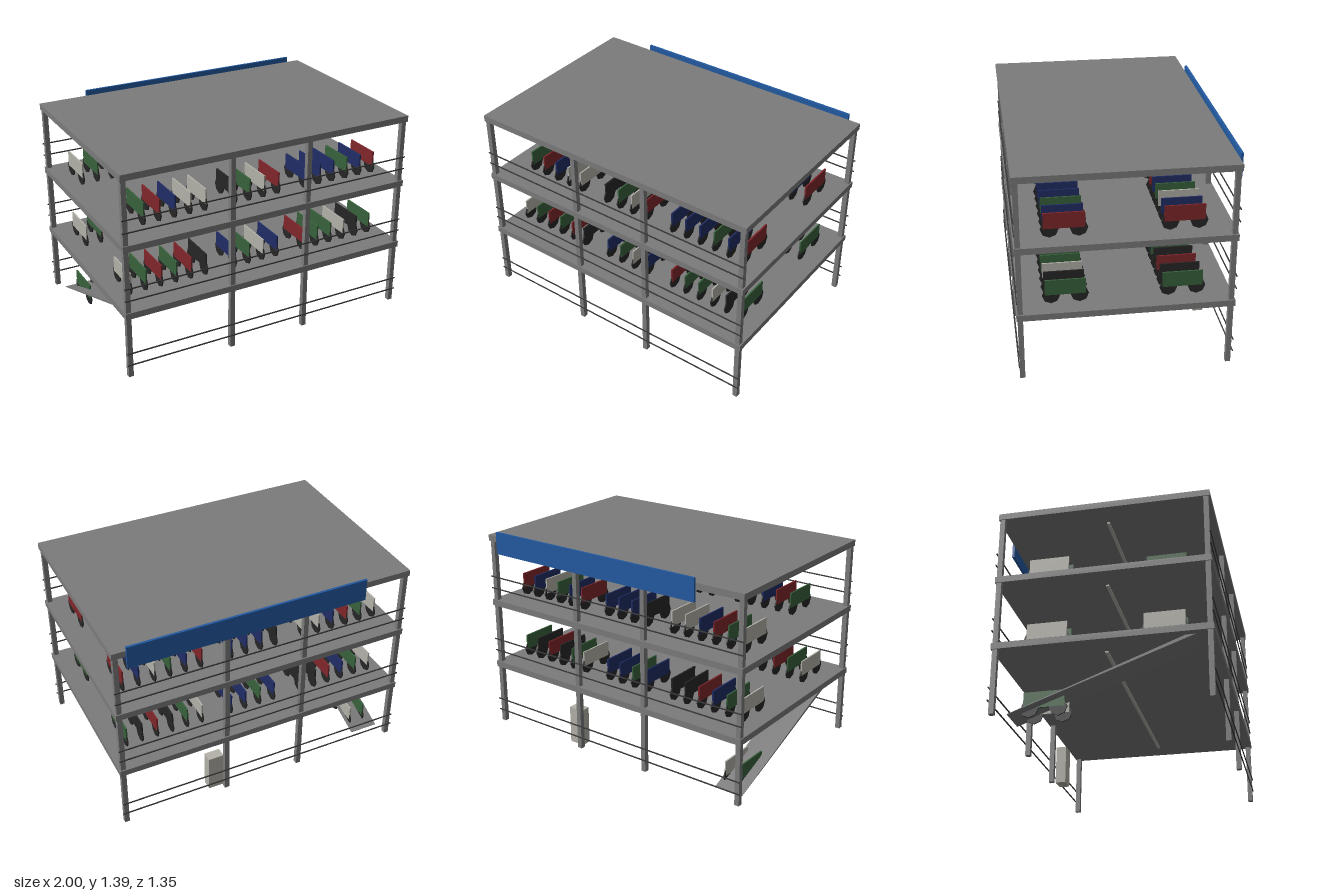
import * as THREE from 'three';

const material = (name, color) => {
  const m = new THREE.MeshStandardMaterial({ color });
  m.name = name;
  return m;
};

export function createModel() {
  const model = new THREE.Group();
  model.name = 'parkingGarage';
  const concrete = material('concrete', 0x7b7b7b);
  const dark = material('darkRail', 0x3a3a3a);
  const signBlue = material('signBlue', 0x235aa2);
  const paint = {
    w: material('lightGrey', 0xb3b1a8),
    r: material('red', 0x80262a),
    g: material('green', 0x38613b),
    b: material('navy', 0x202d66),
    k: material('black', 0x262626),
  };

  const box = (name, mat, x0, x1, y0, y1, z0, z1, parent = model) => {
    const mesh = new THREE.Mesh(new THREE.BoxGeometry(x1 - x0, y1 - y0, z1 - z0), mat);
    mesh.position.set((x0 + x1) / 2, (y0 + y1) / 2, (z0 + z1) / 2);
    mesh.name = name;
    parent.add(mesh);
  };

  // Floors, each with a light strip beneath
  for (const top of [0.452, 0.902, 1.354]) {
    box('floorSlab', concrete, -1, 1, top - 0.041, top, -0.657, 0.675);
    box('ceilingLight', paint.w, -0.835, 0.83, top - 0.051, top - 0.041, 0, 0.02);
  }

  // Columns along the front and back
  for (const x of [-0.978, -0.27, 0.267, 0.975]) {
    for (const z of [0.652, -0.633]) {
      box('column', concrete, x - 0.016, x + 0.016, 0, 1.313, z - 0.016, z + 0.016);
    }
  }

  // Two safety rails per level, front and back
  for (const floor of [0, 0.45, 0.9]) {
    for (const h of [0.085, 0.167]) {
      for (const z of [0.671, -0.657]) {
        box('rail', dark, -1, 1, floor + h - 0.0035, floor + h + 0.0035, z - 0.003, z + 0.003);
      }
    }
  }

  // Wedge shaped ramp, profile in (z, y)
  const profile = new THREE.Shape([
    new THREE.Vector2(-0.55, 0.008),
    new THREE.Vector2(0.51, 0.414),
    new THREE.Vector2(0.57, 0.414),
    new THREE.Vector2(-0.55, 0.005),
  ]);
  const rampGeometry = new THREE.ExtrudeGeometry(profile, { depth: 0.197, bevelEnabled: false });
  rampGeometry.rotateY(-Math.PI / 2);
  const ramp = new THREE.Mesh(rampGeometry, concrete);
  ramp.position.x = -0.755;
  ramp.name = 'ramp';
  model.add(ramp);

  // Lift cabin and rooftop sign
  box('liftCabin', paint.w, 0.275, 0.38, 0, 0.255, -0.608, -0.54);
  box('signBoard', signBlue, -0.67, 0.913, 1.24, 1.388, -0.675, -0.659);

  // Flat parked cars
  const wheelGeometry = new THREE.CylinderGeometry(0.055, 0.055, 0.008, 8).toNonIndexed();
  wheelGeometry.rotateZ(Math.PI / 2);
  wheelGeometry.computeVertexNormals();
  const addCar = (slot, floor, z, mat) => {
    const car = new THREE.Group();
    car.name = 'car';
    box('carBody', mat, -0.005, 0.005, 0.06, 0.161, -0.125, 0.125, car);
    for (const side of [-1, 1]) {
      const wheel = new THREE.Mesh(wheelGeometry, paint.k);
      wheel.position.set(0, 0.057, side * 0.0875);
      wheel.name = 'wheel';
      car.add(wheel);
    }
    car.position.set(-0.885 + slot * 0.1038, floor, z);
    model.add(car);
  };

  // One letter per parking slot; dots are empty
  const rows = [
    [0.9, 0.37, '.grbww.kgwr.bbbgbr'],
    [0.9, -0.35, 'wgrbww.kbbb.rbgwbr'],
    [0.45, 0.37, 'wgrgrk.bgwb.rggwkg'],
    [0.45, -0.35, 'wgbrkk.bgbb.wgkrkg'],
    [0, -0.35, 'gw'],
  ];
  for (const [floor, z, slots] of rows) {
    [...slots].forEach((c, i) => {
      if (c !== '.') addCar(i, floor, z, paint[c]);
    });
  }
  return model;
}
